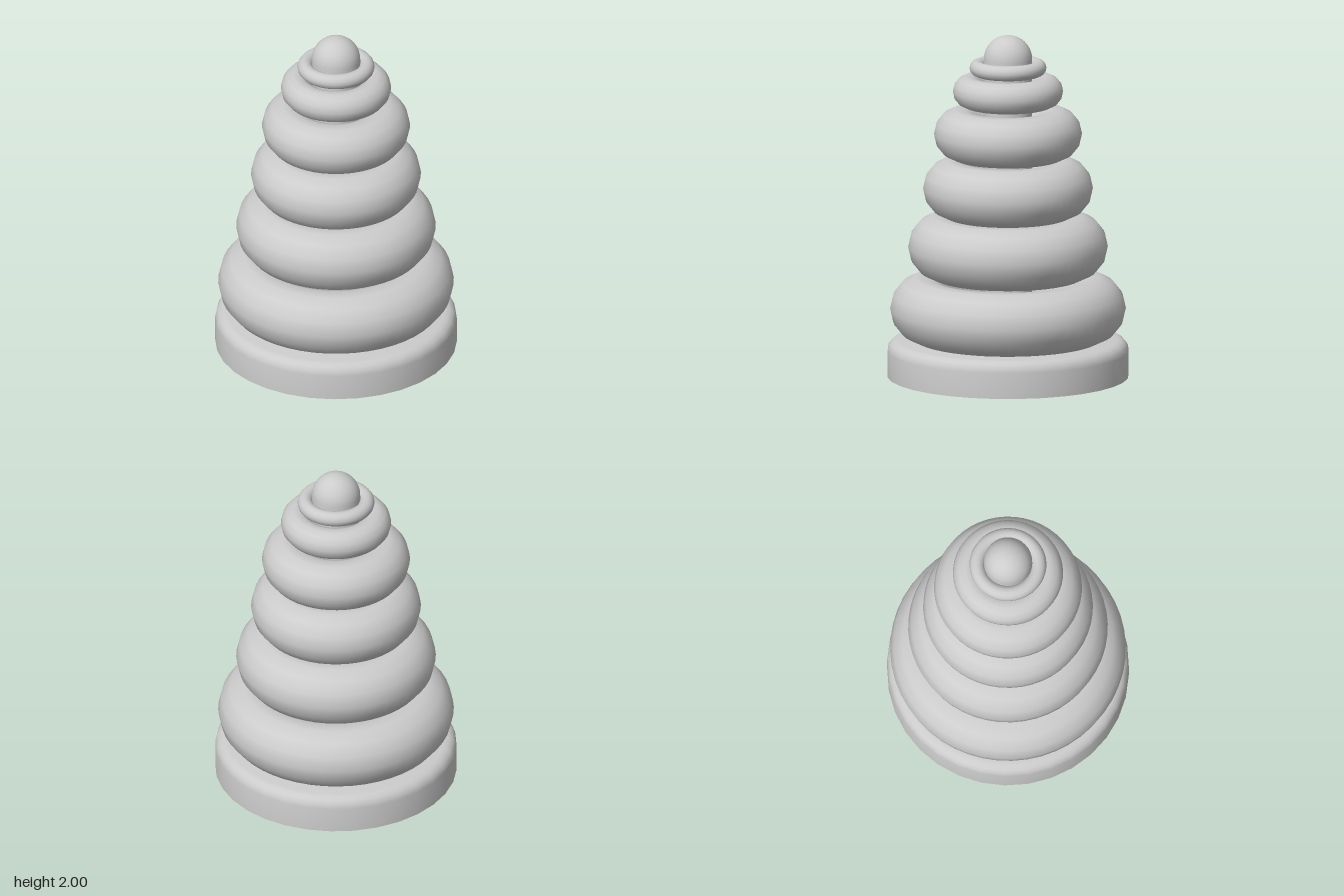
import * as THREE from 'three';
import { toCreasedNormals } from 'three/addons/utils/BufferGeometryUtils.js';

const material = new THREE.MeshStandardMaterial({ color: 0xcccccc });

// Rounded profile spun around y; arc() gives a quarter-round from side to top
const arc = (cx, cy, r, steps) =>
  Array.from({ length: steps + 1 }, (_, i) => {
    const a = (i / steps) * Math.PI / 2;
    return new THREE.Vector2(Math.max(0, cx + r * Math.cos(a)), cy + r * Math.sin(a));
  });

function lathe(name, points, segments) {
  const geometry = toCreasedNormals(new THREE.LatheGeometry(points, segments), 0.7);
  const mesh = new THREE.Mesh(geometry, material);
  mesh.name = name;
  return mesh;
}

export function createModel() {
  const group = new THREE.Group();
  group.name = 'stackingRings';

  // Round base with a softened top edge
  group.add(lathe('base', [
    new THREE.Vector2(0, 0),
    new THREE.Vector2(0.697, 0),
    ...arc(0.632, 0.15, 0.065, 4),
    new THREE.Vector2(0, 0.215),
  ], 32));

  // Central peg with a domed tip
  group.add(lathe('peg', [
    new THREE.Vector2(0, 0.2),
    new THREE.Vector2(0.14, 0.2),
    ...arc(0, 1.86, 0.14, 10),
  ], 32));

  // Rings from bottom to top: height of centre, outer radius, tube radius
  const rings = [
    [0.397, 0.68, 0.185],
    [0.76, 0.576, 0.183],
    [1.103, 0.49, 0.168],
    [1.422, 0.427, 0.146],
    [1.672, 0.318, 0.09],
    [1.81, 0.222, 0.044],
  ];
  rings.forEach(([y, outer, tube], i) => {
    const geometry = new THREE.TorusGeometry(outer - tube, tube, 14, 48);
    geometry.rotateX(-Math.PI / 2);
    const ring = new THREE.Mesh(geometry, material);
    ring.name = `ring${i + 1}`;
    ring.position.y = y;
    group.add(ring);
  });

  return group;
}
